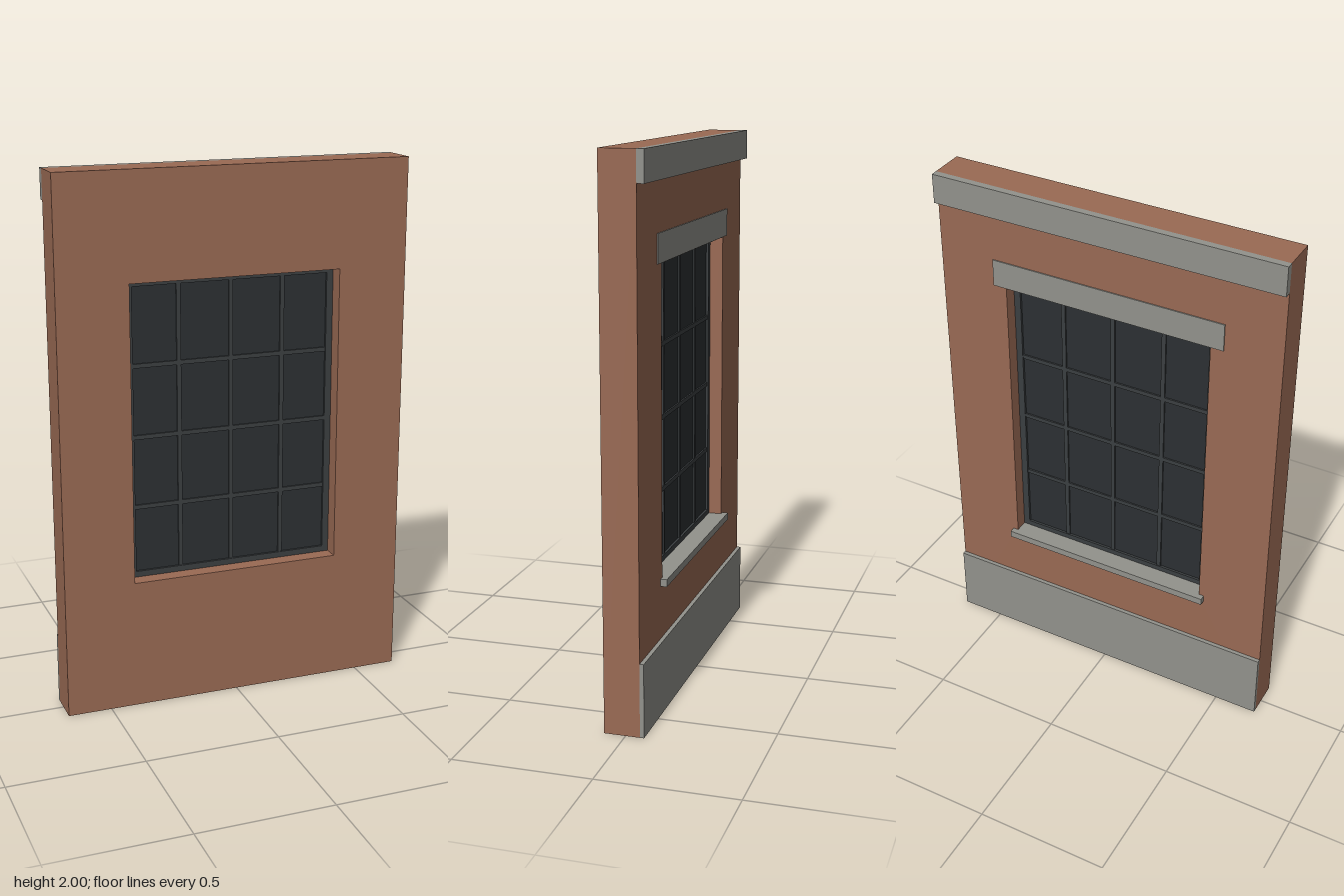
import * as THREE from 'three';

const brick = new THREE.MeshStandardMaterial({ color: 0x9a6a54 });
const stone = new THREE.MeshStandardMaterial({ color: 0x92928c });
const metal = new THREE.MeshStandardMaterial({ color: 0x3b3f41 });
const pane = new THREE.MeshStandardMaterial({ color: 0x2c3033 });

// Box given by its limits on each axis
function block(name, material, [x0, x1], [y0, y1], [z0, z1]) {
  const mesh = new THREE.Mesh(new THREE.BoxGeometry(x1 - x0, y1 - y0, z1 - z0), material);
  mesh.position.set((x0 + x1) / 2, (y0 + y1) / 2, (z0 + z1) / 2);
  mesh.name = name;
  return mesh;
}

function rectangle(PathType, x, y0, y1) {
  const path = new PathType();
  path.moveTo(-x, y0);
  path.lineTo(x, y0);
  path.lineTo(x, y1);
  path.lineTo(-x, y1);
  path.closePath();
  return path;
}

export function createModel() {
  const model = new THREE.Group();
  model.name = 'wallPanel';

  const W = 0.665, back = -0.052, front = 0.078;
  const hx = 0.4, bottom = 0.49, top = 1.605;

  // Brick wall with the window opening
  const outline = rectangle(THREE.Shape, W, 0, 2);
  outline.holes.push(rectangle(THREE.Path, hx, bottom, top));
  const wall = new THREE.Mesh(
    new THREE.ExtrudeGeometry(outline, { depth: front - back, bevelEnabled: false }), brick);
  wall.position.z = back;
  wall.name = 'wall';
  model.add(wall);

  // Stone trim on the outer (back) face
  model.add(
    block('plinth', stone, [-W, W], [0, 0.27], [-0.067, back]),
    block('cornice', stone, [-W, W], [1.89, 2], [-0.078, back]),
    block('lintel', stone, [-0.45, 0.45], [1.607, 1.71], [-0.056, back]),
    block('sill', stone, [-0.42, 0.42], [0.465, bottom + 0.002], [-0.075, 0.0])
  );

  // Window: frame, glass and a grid of glazing bars
  const win = new THREE.Group();
  win.name = 'window';
  const z = [-0.002, 0.02], barZ = [0.001, 0.017];
  for (const s of [-1, 1]) {
    const xs = s < 0 ? [-hx, -hx + 0.025] : [hx - 0.025, hx];
    win.add(block('frameSide', metal, xs, [bottom, top], z));
  }
  win.add(
    block('frameBottom', metal, [-hx + 0.025, hx - 0.025], [bottom, bottom + 0.022], z),
    block('frameTop', metal, [-hx + 0.025, hx - 0.025], [top - 0.022, top], z),
    block('glass', pane, [-hx + 0.02, hx - 0.02], [bottom + 0.01, top - 0.01], [0.007, 0.011])
  );
  for (const x of [-0.2, 0, 0.2])
    win.add(block('verticalBar', metal, [x - 0.008, x + 0.008], [bottom + 0.02, top - 0.02], barZ));
  for (const y of [0.762, 1.028, 1.294])
    win.add(block('horizontalBar', metal, [-hx + 0.02, hx - 0.02], [y - 0.008, y + 0.008], barZ));
  model.add(win);

  return model;
}
